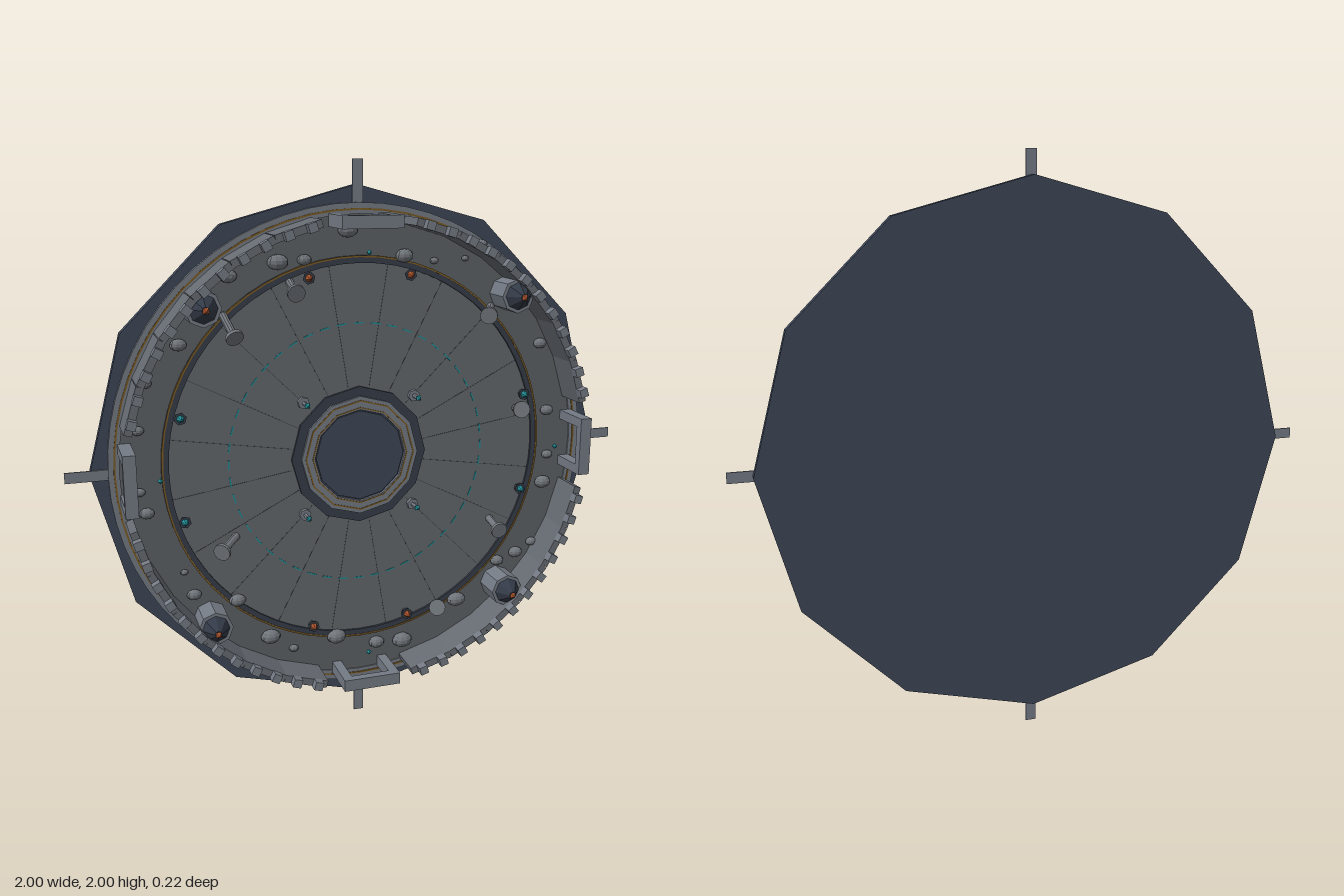
import * as THREE from 'three';

const mat = (color, flatShading = true) => new THREE.MeshStandardMaterial({ color, flatShading, side: THREE.DoubleSide });
const M = {
  navy: mat(0x3d4657), floor: mat(0x63676a), stand: mat(0x5c6063), stone: mat(0x747a84), wall: mat(0x666b72),
  rock: mat(0x70757b), dark: mat(0x343b48), seam: mat(0x3f444a), gold: mat(0x7a5a24), teal: mat(0x1f8a92), ember: mat(0xa8512a),
};
const FLOOR = -0.06;

export function createModel() {
  const root = new THREE.Group();
  root.name = 'arena';
  const arena = new THREE.Group();
  arena.name = 'arenaBody';
  arena.position.y = 1;
  root.add(arena);

  const add = (name, geo, material, x = 0, y = 0, z = 0, parent = arena) => {
    const mesh = new THREE.Mesh(geo, material);
    mesh.name = name;
    mesh.position.set(x, y, z);
    parent.add(mesh);
    return mesh;
  };
  // Prism or cone standing along z from z0 to z1
  const drum = (name, r0, r1, z0, z1, sides, material, x = 0, y = 0, parent = arena) =>
    add(name, new THREE.CylinderGeometry(r1, r0, z1 - z0, sides).rotateX(Math.PI / 2), material, x, y, (z0 + z1) / 2, parent);
  // Flat raised ring
  const ring = (name, inner, outer, z0, z1, sides, material) => {
    const pts = [[inner, z0], [outer, z0], [outer, z1], [inner, z1], [inner, z0]].map(p => new THREE.Vector2(...p));
    return add(name, new THREE.LatheGeometry(pts, sides).rotateX(Math.PI / 2), material);
  };
  // Group turned about the arena axis; its local +x points outward
  const spoke = (name, angle) => {
    const g = new THREE.Group();
    g.name = name;
    g.rotation.z = angle;
    arena.add(g);
    return g;
  };

  // Base, floor and rings
  drum('basePlate', 0.92, 0.92, -0.11, -0.075, 12, M.navy);
  drum('standFloor', 0.84, 0.84, -0.08, FLOOR - 0.003, 64, M.stand);
  drum('arenaFloor', 0.67, 0.67, -0.08, FLOOR, 64, M.floor);
  ring('outerKerb', 0.825, 0.862, -0.08, -0.058, 64, M.stone);
  ring('outerTrim', 0.838, 0.844, -0.06, -0.055, 64, M.gold);
  ring('innerKerb', 0.665, 0.69, -0.08, -0.052, 64, M.dark);
  ring('innerTrim', 0.684, 0.69, -0.06, -0.05, 64, M.gold);

  // Floor seams and dashed glowing circle
  for (let i = 0; i < 20; i++) {
    const s = spoke('floorSeam', (i + 0.5) * Math.PI / 10);
    add('seamLine', new THREE.BoxGeometry(0.42, 0.002, 0.002), M.seam, 0.455, 0, FLOOR, s);
  }
  for (let i = 0; i < 48; i++) {
    const s = spoke('glowDash', i * Math.PI / 24);
    add('dash', new THREE.BoxGeometry(0.005, 0.034, 0.002), M.teal, 0.463, 0, FLOOR + 0.001, s);
  }

  // Central plaza
  drum('plazaStep', 0.245, 0.245, -0.07, -0.05, 12, M.dark);
  ring('plazaRim', 0.165, 0.212, -0.07, -0.04, 12, M.stone);
  ring('plazaOuterTrim', 0.194, 0.199, -0.05, -0.038, 12, M.gold);
  ring('plazaInnerTrim', 0.17, 0.174, -0.05, -0.038, 12, M.gold);
  drum('plazaDisc', 0.16, 0.16, -0.07, -0.044, 12, M.navy);

  // Wall segments with paired merlons, left open at the four gates
  const step = Math.PI / 16;
  for (let i = 0; i < 32; i++) {
    if (i % 8 === 0 || i % 8 === 7) continue;
    const s = spoke('wallSegment', (i + 0.5) * step);
    add('wallBlock', new THREE.BoxGeometry(0.026, 0.16, 0.13), M.wall, 0.815, 0, 0.005, s);
    for (const side of [-1, 1]) {
      add('merlon', new THREE.BoxGeometry(0.03, 0.03, 0.032), M.stone, 0.815, side * 0.04, 0.084, s);
    }
  }

  // Gates, hanging crystals and approach roads
  for (let i = 0; i < 4; i++) {
    const s = spoke('gate', i * Math.PI / 2);
    for (const side of [-1, 1]) {
      add('gatePost', new THREE.BoxGeometry(0.042, 0.034, 0.16), M.stone, 0.806, side * 0.087, 0.02, s);
    }
    add('gateLintel', new THREE.BoxGeometry(0.042, 0.208, 0.03), M.stone, 0.806, 0, 0.085, s);
    add('gateCrystal', new THREE.OctahedronGeometry(0.01).scale(1, 1, 1.6), M.teal, 0.707, 0, 0.055, s);
    add('road', new THREE.BoxGeometry(0.15, 0.036, 0.006), M.stone, 0.925, 0, -0.072, s);
  }

  // Corner towers, plaza lamps and braziers
  for (let i = 0; i < 4; i++) {
    const a = Math.PI / 4 + i * Math.PI / 2;
    const t = spoke('tower', a);
    drum('towerBody', 0.06, 0.06, FLOOR - 0.01, 0.045, 8, M.stone, 0.771, 0, t);
    drum('towerRoof', 0.048, 0.012, 0.045, 0.09, 8, M.dark, 0.771, 0, t);
    add('towerFlame', new THREE.OctahedronGeometry(0.013).scale(1, 1, 1.3), M.ember, 0.771, 0, 0.094, t);

    const l = spoke('plazaLamp', a);
    drum('lampFoot', 0.021, 0.021, FLOOR, -0.045, 6, M.stone, 0.283, 0, l);
    drum('lampPole', 0.008, 0.008, -0.045, -0.005, 6, M.stone, 0.283, 0, l);
    add('lampCrystal', new THREE.OctahedronGeometry(0.012), M.teal, 0.283, 0, 0, l);

    for (const side of [-1, 1]) {
      const b = spoke('brazier', i * Math.PI / 2 + side * 0.28);
      drum('brazierBowl', 0.013, 0.022, FLOOR, -0.035, 6, M.dark, 0.647, 0, b);
      drum('brazierFlame', 0.013, 0, -0.035, -0.005, 6, i % 2 ? M.ember : M.teal, 0.647, 0, b);
    }
  }

  // Leaning broken pillars: top x, y and foot x, y
  const pillars = [
    [-0.24, 0.58, -0.24, 0.61], [-0.445, 0.445, -0.465, 0.51], [0.44, 0.48, 0.49, 0.5], [0.58, 0.14, 0.6, 0.125],
    [0.51, -0.31, 0.51, -0.29], [0.27, -0.58, 0.3, -0.61], [-0.515, -0.275, -0.445, -0.255],
  ];
  for (const [x, y, fx, fy] of pillars) {
    const top = new THREE.Vector3(x, y, 0.035), foot = new THREE.Vector3(fx, fy, FLOOR);
    const dir = top.clone().sub(foot);
    const p = new THREE.Group();
    p.name = 'brokenPillar';
    p.position.copy(foot);
    p.quaternion.setFromUnitVectors(new THREE.Vector3(0, 0, 1), dir.clone().normalize());
    arena.add(p);
    drum('pillarShaft', 0.014, 0.014, 0, dir.length(), 10, M.rock, 0, 0, p);
    drum('pillarCap', 0.03, 0.03, dir.length() - 0.012, dir.length(), 16, M.rock, 0, 0, p);
  }

  // Boulders on the stand: x, y, radius
  const boulders = [
    [-0.28, 0.675, 0.036], [-0.19, 0.68, 0.025], [-0.04, 0.775, 0.036], [0.16, 0.685, 0.032], [-0.445, 0.635, 0.03],
    [-0.615, 0.42, 0.028], [-0.73, 0.3, 0.024], [-0.76, 0.145, 0.022], [-0.765, -0.065, 0.02], [-0.745, -0.14, 0.026],
    [-0.6, -0.45, 0.026], [-0.45, -0.49, 0.03], [-0.335, -0.645, 0.036], [-0.25, -0.705, 0.018], [-0.09, -0.68, 0.036],
    [0.065, -0.725, 0.03], [0.165, -0.73, 0.038], [0.38, -0.595, 0.036], [0.545, -0.46, 0.026], [0.62, -0.435, 0.028],
    [0.685, -0.4, 0.022], [0.72, -0.165, 0.032], [0.735, -0.06, 0.022], [0.725, 0.11, 0.026], [0.685, 0.36, 0.026],
    [0.44, 0.715, 0.026], [0.27, 0.665, 0.016], [0.385, 0.67, 0.014], [-0.63, -0.365, 0.014],
  ];
  for (const [x, y, r] of boulders) {
    add('boulder', new THREE.SphereGeometry(r, 10, 7).scale(1, 0.72, 0.7), M.rock, x, y, FLOOR + r * 0.3);
  }
  return root;
}
